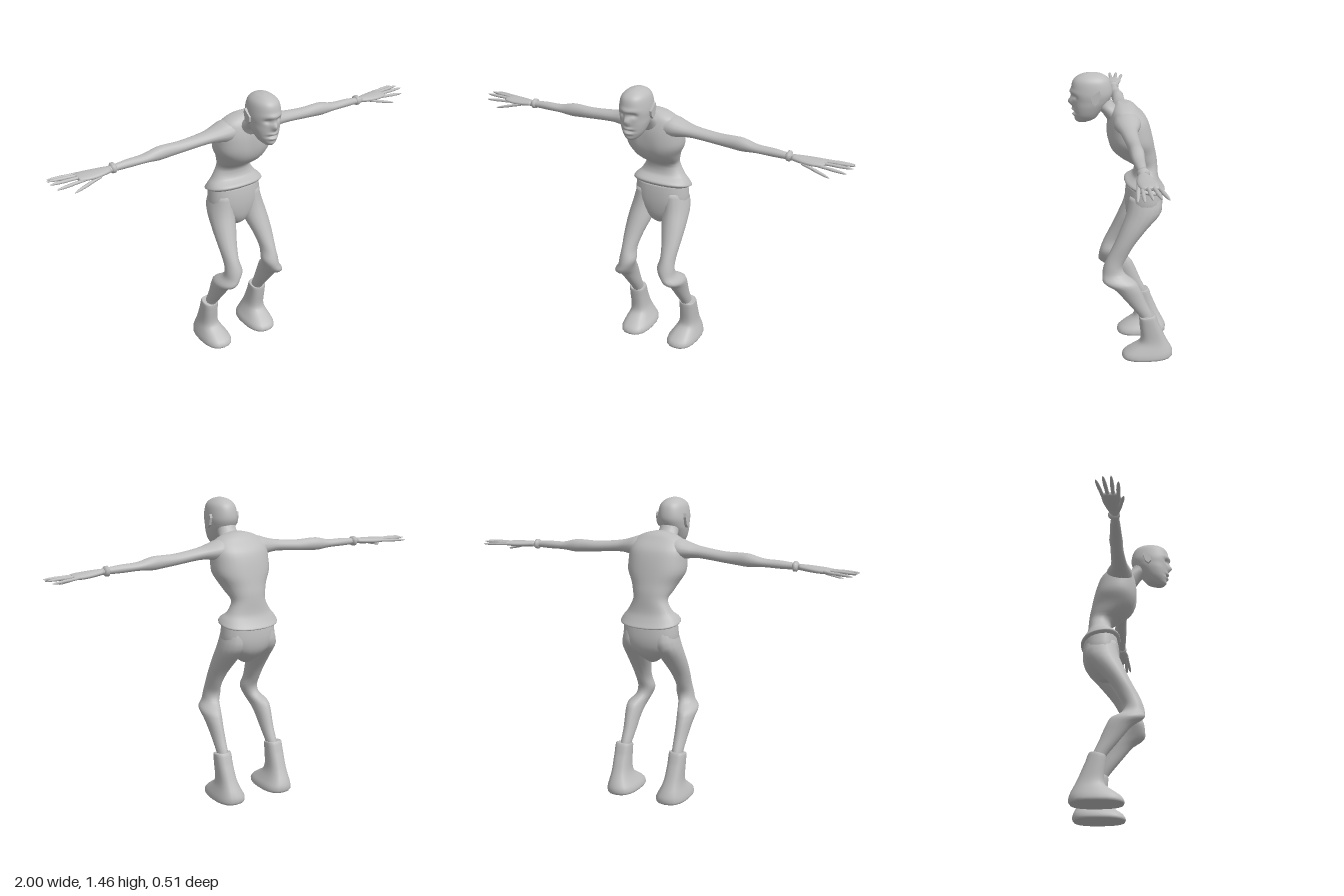
import * as THREE from 'three';

const skin = new THREE.MeshStandardMaterial({ color: 0xbdbdbd });
skin.name = 'plain grey';

// Smooth value through a list of numbers (Catmull-Rom)
function spline(list, k, f) {
  const at = (i) => list[Math.max(0, Math.min(list.length - 1, i))];
  const [p, q, r, s] = [at(k - 1), at(k), at(k + 1), at(k + 2)];
  const m0 = (r - p) / 2, m1 = (s - q) / 2;
  return q + f * m0 + f * f * (3 * (r - q) - 2 * m0 - m1) + f * f * f * (2 * (q - r) + m0 + m1);
}

// Skin over oval cross-sections.
// axis y, listed top to bottom: [y, xMin, xMax, zBack, zFront]
// axis x, listed inner to outer: [x, yMin, yMax, zBack, zFront]
function loft(name, rings, { axis = 'y', side = 1, sides = 20, steps = 3, power = 1, warp } = {}) {
  const rows = [];
  for (let k = 0; k < rings.length - 1; k++) {
    for (let n = 0; n < steps; n++) {
      rows.push(rings[0].map((_, c) => spline(rings.map((r) => r[c]), k, n / steps)));
    }
  }
  rows.push(rings[rings.length - 1]);
  const pos = [], idx = [];
  const put = (t, a, b) => {
    const v = axis === 'y' ? new THREE.Vector3(a, t, b) : new THREE.Vector3(t, a, b);
    if (warp) warp(v);
    pos.push(v.x * side, v.y, v.z);
  };
  const tri = (a, b, c) => (side > 0 ? idx.push(a, b, c) : idx.push(a, c, b));
  const curve = (v) => Math.sign(v) * Math.pow(Math.abs(v), power);
  for (const [t, a0, a1, b0, b1] of rows) {
    for (let j = 0; j < sides; j++) {
      const w = (j / sides) * Math.PI * 2;
      put(t, (a0 + a1) / 2 + curve(Math.cos(w)) * (a1 - a0) / 2,
        (b0 + b1) / 2 + curve(Math.sin(w)) * (b1 - b0) / 2);
    }
  }
  const last = rows.length - 1;
  for (let i = 0; i < last; i++) {
    for (let j = 0; j < sides; j++) {
      const a = i * sides + j, b = i * sides + (j + 1) % sides;
      tri(a, b, a + sides);
      tri(b, b + sides, a + sides);
    }
  }
  // End caps
  for (const i of [0, last]) {
    const [t, a0, a1, b0, b1] = rows[i];
    const centre = pos.length / 3;
    put(t, (a0 + a1) / 2, (b0 + b1) / 2);
    for (let j = 0; j < sides; j++) {
      const a = i * sides + j, b = i * sides + (j + 1) % sides;
      if (i === 0) tri(centre, b, a);
      else tri(centre, a, b);
    }
  }
  const g = new THREE.BufferGeometry();
  g.setAttribute('position', new THREE.Float32BufferAttribute(pos, 3));
  g.setIndex(idx);
  g.computeVertexNormals();
  const mesh = new THREE.Mesh(g, skin);
  mesh.name = name;
  return mesh;
}

// Symmetric section about x = 0
const mid = (y, half, back, front) => [y, -half, half, back, front];
const bump = (d, width) => Math.exp(-((d / width) ** 2));

// Nose, brow, eye sockets and lips pressed into the front of the head
function face(v) {
  if (v.z < 0.17) return;
  const x = Math.abs(v.x), y = v.y;
  v.z += 0.022 * bump(x, 0.012) * bump(y - 1.325, 0.02)
    + 0.008 * bump(x, 0.045) * bump(y - 1.376, 0.01)
    - 0.014 * bump(x - 0.03, 0.016) * bump(y - 1.353, 0.012)
    + 0.010 * bump(x, 0.022) * (bump(y - 1.287, 0.007) + bump(y - 1.263, 0.007))
    - 0.008 * bump(x, 0.025) * bump(y - 1.275, 0.006)
    + 0.004 * bump(x, 0.02) * bump(y - 1.235, 0.01);
}

function addSide(body, s, label) {
  const add = (mesh) => body.add(mesh);

  // Ear
  const outline = [[0.155, 1.36], [0.113, 1.39], [0.108, 1.37], [0.118, 1.335], [0.135, 1.318], [0.15, 1.335]];
  const earShape = new THREE.Shape(outline.map(([z, y]) => new THREE.Vector2(z, y)));
  const ear = new THREE.Mesh(new THREE.ExtrudeGeometry(earShape, { depth: 0.016, bevelEnabled: false }), skin);
  ear.rotation.y = -Math.PI / 2;
  ear.position.x = s > 0 ? 0.082 : -0.066;
  ear.name = label + 'Ear';
  add(ear);

  // Leg: thigh, knee and shin
  add(loft(label + 'Leg', [
    [0.86, 0.02, 0.13, -0.18, -0.03], [0.78, 0.022, 0.15, -0.188, -0.015],
    [0.70, 0.035, 0.158, -0.12, 0.015], [0.62, 0.06, 0.156, -0.055, 0.05],
    [0.55, 0.074, 0.15, -0.015, 0.085], [0.50, 0.066, 0.153, 0.008, 0.104],
    [0.46, 0.08, 0.16, -0.005, 0.11], [0.425, 0.094, 0.187, -0.055, 0.106],
    [0.39, 0.102, 0.186, -0.075, 0.055], [0.35, 0.108, 0.18, -0.092, 0.02],
    [0.30, 0.112, 0.175, -0.112, -0.02], [0.24, 0.118, 0.172, -0.14, -0.068],
    [0.20, 0.125, 0.17, -0.15, -0.09],
  ], { side: s, sides: 16 }));

  // Boot
  add(loft(label + 'Boot', [
    [0.236, 0.112, 0.185, -0.148, -0.078], [0.232, 0.108, 0.192, -0.155, -0.073],
    [0.18, 0.108, 0.192, -0.178, -0.076], [0.12, 0.104, 0.192, -0.203, -0.082],
    [0.085, 0.095, 0.196, -0.22, -0.072], [0.055, 0.08, 0.205, -0.236, -0.03],
    [0.03, 0.065, 0.213, -0.246, 0.004], [0.01, 0.06, 0.216, -0.246, 0.014],
    [0, 0.064, 0.212, -0.24, 0.01],
  ], { side: s, power: 0.8, warp: (v) => {
    if (v.y > 0.2) v.y -= 0.2 * (v.z + 0.113); // slanted boot opening
  } }));

  // Arm
  add(loft(label + 'Arm', [
    [0.04, 1.18, 1.298, -0.07, 0.05], [0.11, 1.185, 1.288, -0.08, 0.052],
    [0.16, 1.195, 1.272, -0.068, 0.042], [0.22, 1.2, 1.257, -0.052, 0.028],
    [0.34, 1.19, 1.244, -0.05, 0.016], [0.42, 1.183, 1.245, -0.05, 0.012],
    [0.47, 1.18, 1.243, -0.053, 0.012], [0.54, 1.186, 1.226, -0.047, 0.008],
    [0.62, 1.185, 1.224, -0.043, 0.004], [0.68, 1.186, 1.219, -0.037, 0],
    [0.74, 1.187, 1.213, -0.038, 0.002],
  ], { axis: 'x', side: s, sides: 16 }));

  // Wrist cuff
  add(loft(label + 'Cuff', [
    [0.685, 1.188, 1.217, -0.036, -0.002], [0.692, 1.178, 1.227, -0.05, 0.006],
    [0.704, 1.178, 1.227, -0.05, 0.006], [0.712, 1.188, 1.217, -0.036, -0.002],
  ], { axis: 'x', side: s, sides: 14, steps: 1 }));

  // Palm
  add(loft(label + 'Palm', [
    [0.715, 1.188, 1.215, -0.04, 0.002], [0.76, 1.184, 1.214, -0.056, 0.014],
    [0.81, 1.182, 1.212, -0.07, 0.018], [0.85, 1.184, 1.21, -0.074, 0.012],
    [0.872, 1.19, 1.206, -0.068, 0.004],
  ], { axis: 'x', side: s, sides: 16 }));

  // Fingers and thumb: [start x, y, z], [tip x, y, z], radius
  const digits = [
    [[0.845, 1.197, -0.065], [0.985, 1.192, -0.094]],
    [[0.85, 1.2, -0.044], [0.998, 1.2, -0.062]],
    [[0.85, 1.2, -0.021], [1, 1.2, -0.026]],
    [[0.845, 1.194, 0.001], [0.98, 1.184, 0.005]],
    [[0.77, 1.192, 0.006], [0.91, 1.157, 0.026]],
  ];
  digits.forEach(([a, b], n) => {
    const rings = [[0, 0.0095], [0.4, 0.0085], [0.5, 0.0095], [0.85, 0.007], [1, 0.002]].map(([f, r]) => {
      const [x, y, z] = a.map((v, i) => v + (b[i] - v) * f);
      return [x, y - r * 0.8, y + r * 0.8, z - r, z + r];
    });
    add(loft(label + (n < 4 ? 'Finger' + (n + 1) : 'Thumb'), rings, { axis: 'x', side: s, sides: 8, steps: 2 }));
  });
}

export function createModel() {
  const body = new THREE.Group();
  body.name = 'figure';

  // Head with face
  body.add(loft('head', [
    mid(1.463, 0.006, 0.135, 0.16), mid(1.452, 0.038, 0.092, 0.2), mid(1.425, 0.063, 0.06, 0.234),
    mid(1.37, 0.073, 0.047, 0.244), mid(1.33, 0.07, 0.06, 0.238), mid(1.30, 0.065, 0.083, 0.235),
    mid(1.265, 0.053, 0.11, 0.231), mid(1.24, 0.037, 0.13, 0.226), mid(1.225, 0.02, 0.165, 0.215),
  ], { sides: 48, steps: 8, power: 0.92, warp: face }));

  // Neck leaning forward
  body.add(loft('neck', [
    mid(1.35, 0.05, 0.065, 0.16), mid(1.31, 0.049, 0.04, 0.14),
    mid(1.27, 0.056, 0, 0.1), mid(1.22, 0.06, -0.04, 0.066),
  ]));

  // Hunched chest, narrow waist and flared waistband
  body.add(loft('torso', [
    mid(1.315, 0.03, -0.03, 0.02), mid(1.303, 0.078, -0.055, 0.035), mid(1.28, 0.12, -0.078, 0.054),
    mid(1.24, 0.143, -0.115, 0.067), mid(1.19, 0.147, -0.135, 0.074), mid(1.13, 0.145, -0.15, 0.071),
    mid(1.08, 0.118, -0.16, 0.05), mid(1.04, 0.1, -0.168, 0.005), mid(1.00, 0.087, -0.172, -0.055),
    mid(0.95, 0.112, -0.176, -0.055), mid(0.925, 0.136, -0.188, -0.035), mid(0.905, 0.15, -0.205, -0.014),
    mid(0.894, 0.152, -0.21, -0.012), mid(0.884, 0.135, -0.19, -0.025),
  ], { sides: 28, power: 0.88, warp: (v) => {
    // waistband dips at the back, breastbone is slightly hollow
    if (v.y < 0.96) v.y += (v.z + 0.1) * 0.2 * Math.min(1, (0.96 - v.y) / 0.05);
    if (v.z > 0.03) v.z -= 0.008 * bump(v.x, 0.02) * bump(v.y - 1.15, 0.07);
  } }));

  // Pelvis down to the crotch
  body.add(loft('pelvis', [
    mid(0.9, 0.134, -0.19, -0.025), mid(0.86, 0.139, -0.197, -0.018), mid(0.81, 0.14, -0.2, -0.015),
    mid(0.765, 0.118, -0.192, -0.018), mid(0.73, 0.08, -0.17, -0.025), mid(0.70, 0.045, -0.135, -0.04),
    mid(0.682, 0.02, -0.11, -0.06),
  ], { sides: 24, power: 0.88 }));

  addSide(body, 1, 'left');
  addSide(body, -1, 'right');
  return body;
}
